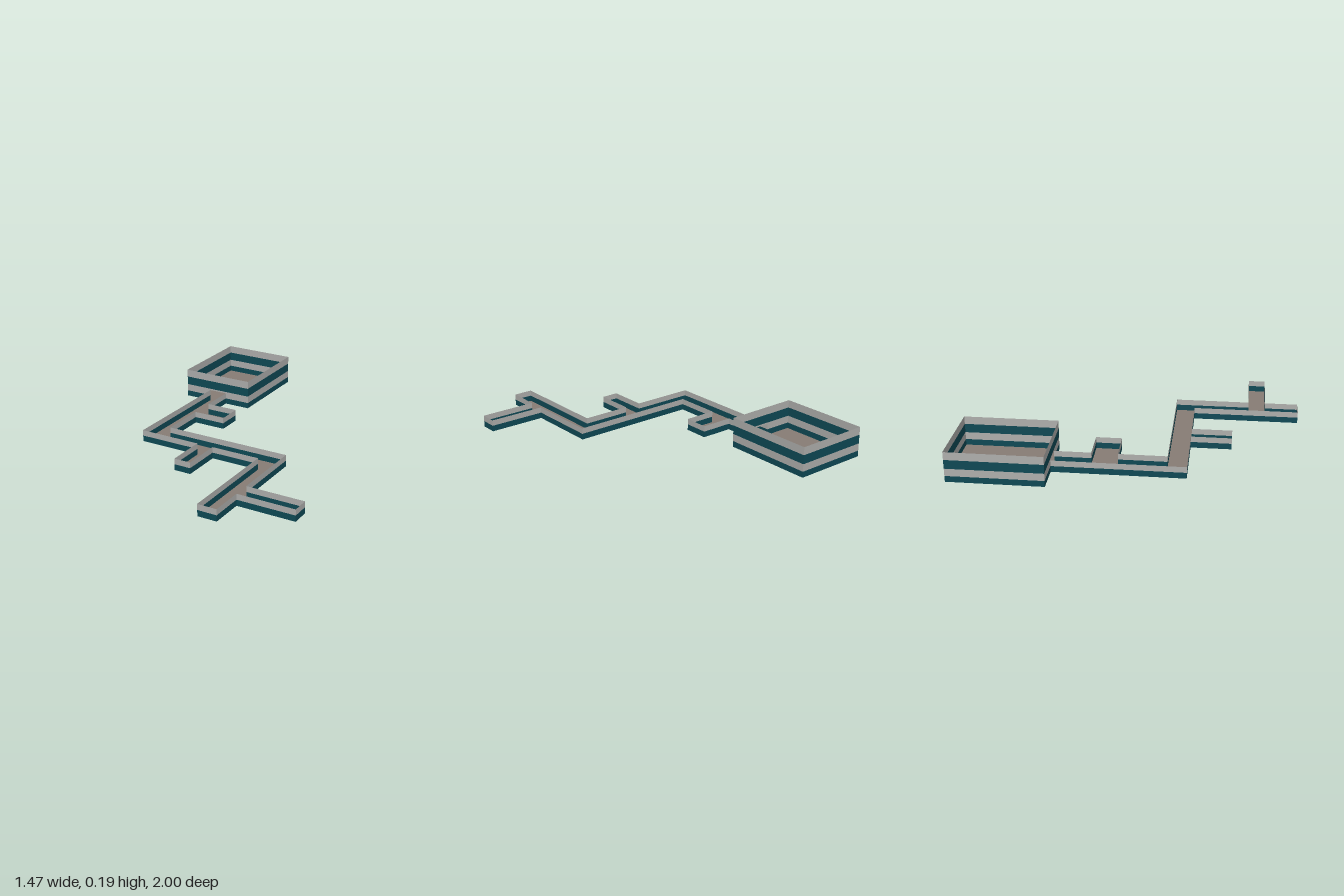
import * as THREE from 'three';
import { mergeGeometries } from 'three/addons/utils/BufferGeometryUtils.js';

const make = (name, color) => {
  const m = new THREE.MeshStandardMaterial({ color, side: THREE.DoubleSide });
  m.name = name;
  return m;
};

// Upright sheet between two plan points [x, z], from height y0 to y1
function sheet([x0, z0], [x1, z1], y0, y1) {
  const g = new THREE.PlaneGeometry(Math.hypot(x1 - x0, z1 - z0), y1 - y0);
  g.rotateY(-Math.atan2(z1 - z0, x1 - x0));
  return g.translate((x0 + x1) / 2, (y0 + y1) / 2, (z0 + z1) / 2);
}

export function createModel() {
  const group = new THREE.Group();
  const stone = make('floor stone', 0x877d75);
  const teal = make('dark teal', 0x0e4955);
  const grey = make('light grey', 0xaeaeac);

  const add = (name, geometry, material) => {
    const mesh = new THREE.Mesh(geometry, material);
    mesh.name = name;
    group.add(mesh);
  };
  // Flat floor from a plan outline
  const floor = (name, outline) => {
    const shape = new THREE.Shape(outline.map(([x, z]) => new THREE.Vector2(x, -z)));
    add(name, new THREE.ShapeGeometry(shape).rotateX(-Math.PI / 2), stone);
  };
  // One colour band of wall along an open path
  const band = (name, path, y0, y1, material) => {
    const parts = path.slice(1).map((p, i) => sheet(path[i], p, y0, y1));
    add(name, mergeGeometries(parts), material);
  };

  // Winding corridor with three dead-end branches, from one door jamb to the other
  const corridor = [
    [-0.555, -0.43], [-0.555, 0.35],
    [-0.16, 0.35], [-0.16, 0.595], [-0.053, 0.595], [-0.053, 0.35],
    [0.255, 0.35], [0.255, 1], [0.375, 1],
    [0.375, 0.797], [0.733, 0.797], [0.733, 0.692], [0.375, 0.692],
    [0.375, 0.232], [-0.433, 0.232],
    [-0.433, -0.057], [-0.227, -0.057], [-0.227, -0.212], [-0.433, -0.212],
    [-0.433, -0.43],
  ];
  floor('corridorFloor', corridor);
  band('corridorLowerWall', corridor, 0, 0.037, teal);
  band('corridorUpperWall', corridor, 0.037, 0.073, grey);

  // Tall square room, open to the corridor through a doorway
  const jambs = [[-0.433, -0.43], [-0.555, -0.43]];
  const room = [
    jambs[0], [-0.263, -0.43], [-0.263, -1], [-0.735, -1], [-0.735, -0.43], jambs[1],
  ];
  floor('roomFloor', room.slice(1, 5));
  const levels = [0, 0.037, 0.083, 0.138, 0.187];
  for (let i = 0; i < 4; i++) {
    const material = i % 2 ? grey : teal;
    band('roomWallBand' + (i + 1), room, levels[i], levels[i + 1], material);
    // Wall above the doorway
    const low = Math.max(levels[i], 0.073);
    if (low < levels[i + 1]) band('doorLintelBand' + (i + 1), jambs, low, levels[i + 1], material);
  }
  return group;
}
